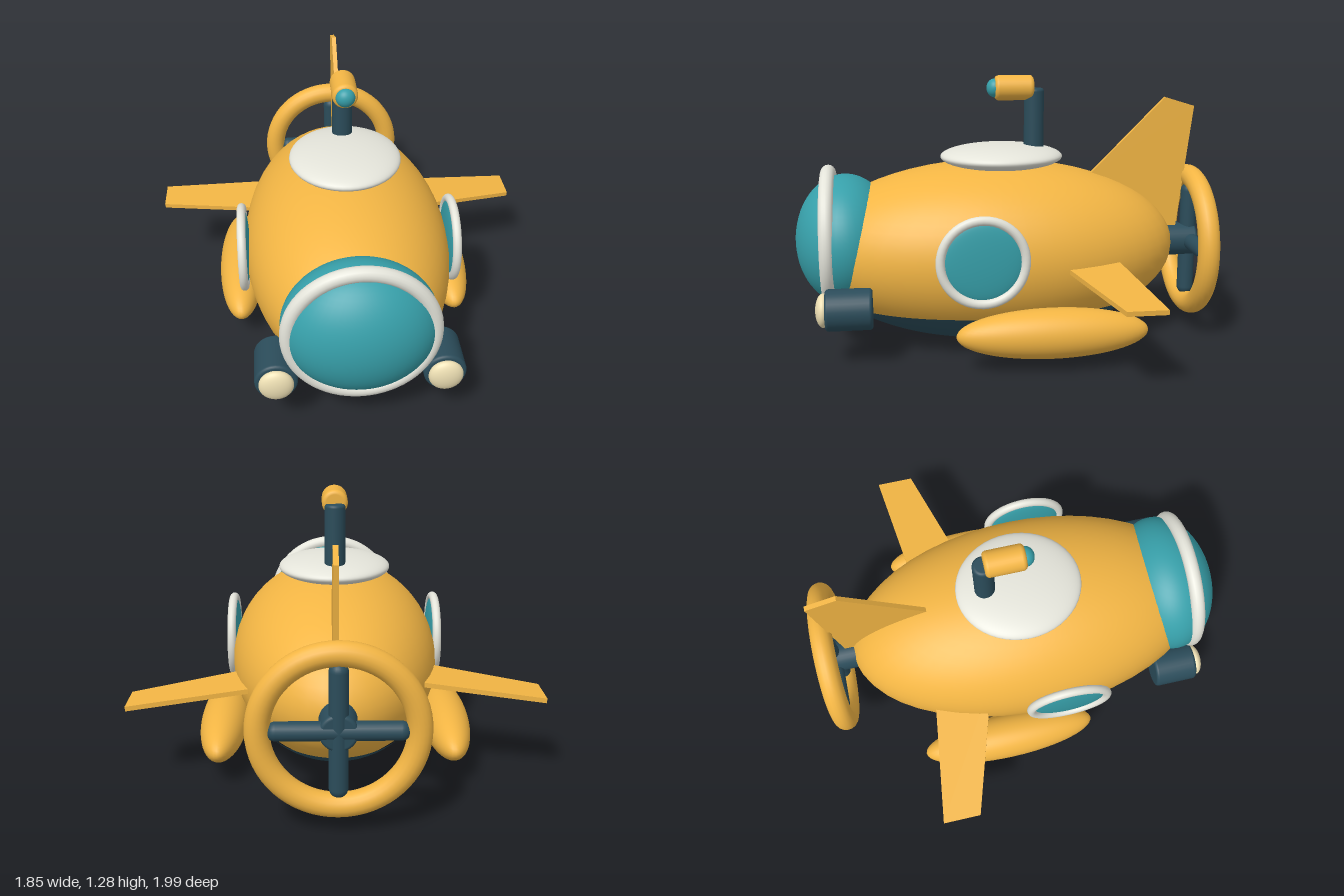
import * as THREE from 'three';

const paint = (color) => new THREE.MeshStandardMaterial({ color });
const yellow = paint(0xf2b544);
const dark = paint(0x2b4c5a);
const teal = paint(0x37a0aa);
const white = paint(0xe4e4da);
const cream = paint(0xeee0b4);

export function createModel() {
  const model = new THREE.Group();
  model.name = 'submarine';

  const add = (name, geometry, material, x = 0, y = 0, z = 0) => {
    const mesh = new THREE.Mesh(geometry, material);
    mesh.name = name;
    mesh.position.set(x, y, z);
    model.add(mesh);
    return mesh;
  };
  const ellipsoid = (rx, ry, rz) => new THREE.SphereGeometry(1, 48, 32).scale(rx, ry, rz);

  // Upright cylinder with rounded rims, centred on its middle
  const roundedCylinder = (r, length, bevel) => {
    const h = length / 2;
    const points = [new THREE.Vector2(0, -h)];
    for (const end of [-1, 1]) {
      for (let i = 0; i <= 5; i++) {
        const a = ((end < 0 ? i - 5 : i) / 5) * Math.PI / 2;
        points.push(new THREE.Vector2(r - bevel + bevel * Math.cos(a), end * (h - bevel) + bevel * Math.sin(a)));
      }
    }
    points.push(new THREE.Vector2(0, h));
    return new THREE.LatheGeometry(points, 32);
  };

  // Flat plate from an outline, centred on its thickness
  const plate = (outline, depth) => {
    const shape = new THREE.Shape(outline.map(([u, v]) => new THREE.Vector2(u, v)));
    return new THREE.ExtrudeGeometry(shape, { depth, bevelEnabled: false }).translate(0, 0, -depth / 2);
  };

  // Hull, with a dark shell over its underside
  add('hull', ellipsoid(0.495, 0.425, 0.9), yellow, 0, 0.455, 0.05);
  const keel = new THREE.SphereGeometry(1, 64, 20, 0, Math.PI * 2, Math.PI * 0.682, Math.PI * 0.318);
  add('keel', keel.scale(0.5, 0.445, 0.885), dark, 0, 0.455, 0.05);

  // Nose window
  add('noseWindow', ellipsoid(0.345, 0.312, 0.238), teal, 0, 0.511, 0.758);
  add('noseWindowRing', new THREE.TorusGeometry(0.315, 0.034, 16, 64), white, 0, 0.52, 0.835);

  // Hatch and periscope
  add('hatch', ellipsoid(0.265, 0.06, 0.295), white, 0, 0.9, 0.003);
  add('periscopePost', roundedCylinder(0.048, 0.4, 0.015), dark, 0, 1.025, -0.155);
  add('periscopeHead', roundedCylinder(0.06, 0.187, 0.02).rotateX(Math.PI / 2), yellow, 0, 1.227, -0.058);
  add('periscopeLens', ellipsoid(0.045, 0.045, 0.04), teal, 0, 1.227, 0.034);

  for (const side of [1, -1]) {
    // Porthole
    add('portholeGlass', ellipsoid(0.025, 0.18, 0.18), teal, side * 0.495, 0.508, 0.145);
    add('portholeRing', new THREE.TorusGeometry(0.19, 0.021, 14, 48).rotateY(Math.PI / 2), white,
      side * 0.503, 0.508, 0.145);

    // Pontoon
    add('pontoon', ellipsoid(0.112, 0.114, 0.435), yellow, side * 0.53, 0.18, -0.165);

    // Headlamp
    add('lampHousing', roundedCylinder(0.095, 0.212, 0.015).rotateX(Math.PI / 2), dark, side * 0.37, 0.275, 0.74);
    add('lampLens', ellipsoid(0.077, 0.077, 0.035), cream, side * 0.37, 0.275, 0.855);

    // Swept side fin, drooping toward the tip
    const outline = [[0.3, -0.485], [0.93, -0.568], [0.93, -0.39], [0.3, -0.2]];
    const finShape = plate(outline.map(([x, z]) => [side * x, z]), 0.022).rotateX(Math.PI / 2);
    const fin = add('sideFin', finShape, yellow, 0, side > 0 ? 0.484 : 0.509, 0);
    fin.rotation.z = -side * 0.095;
  }

  // Upright tail fin
  const tailOutline = [[-0.4, 0.77], [-0.8, 1.175], [-0.947, 1.13], [-0.873, 0.5], [-0.6, 0.5]];
  add('tailFin', plate(tailOutline, 0.022).rotateY(-Math.PI / 2), yellow, 0.01, 0, 0);

  // Propeller inside its guard ring
  const axle = 0.455;
  add('propellerShaft', roundedCylinder(0.08, 0.22, 0.015).rotateX(Math.PI / 2), dark, 0, axle, -0.87);
  add('propellerGuard', new THREE.TorusGeometry(0.325, 0.052, 18, 64), yellow, 0, axle, -0.947);
  for (let i = 0; i < 2; i++) {
    const blade = add('propellerBlades', new THREE.CapsuleGeometry(0.04, 0.5, 8, 20), dark, 0, axle, -0.947);
    blade.rotation.z = i * Math.PI / 2;
  }

  return model;
}
